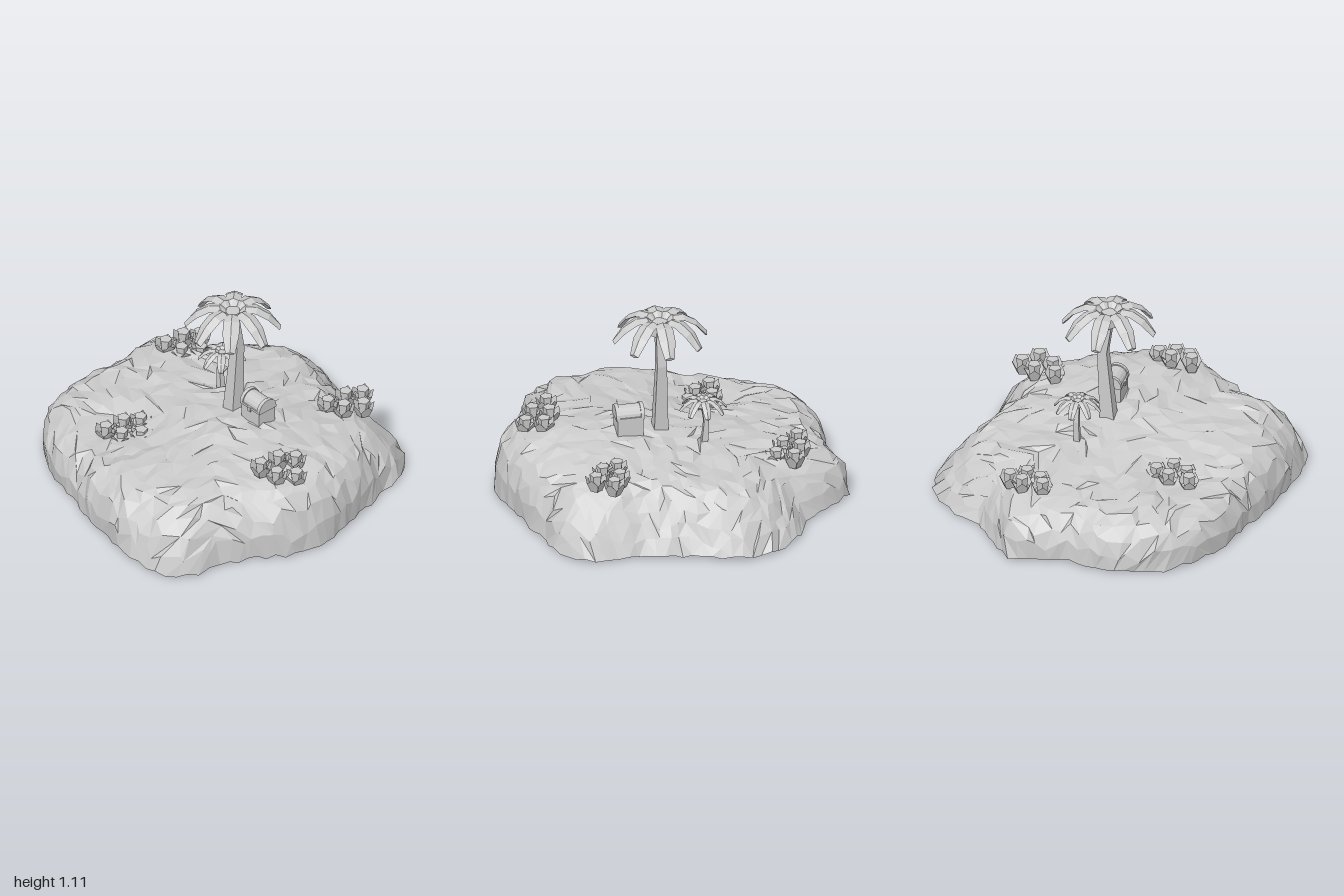
import * as THREE from 'three';

const grey = new THREE.MeshStandardMaterial({ color: 0xcccccc, flatShading: true, side: THREE.DoubleSide });

let seed = 7;
const rand = () => (seed = (seed * 16807) % 2147483647) / 2147483647;
const jitter = (a) => (rand() * 2 - 1) * a;

function mesh(name, geometry, parent) {
  const m = new THREE.Mesh(geometry, grey);
  m.name = name;
  parent.add(m);
  return m;
}

function geometryFrom(positions, index) {
  const g = new THREE.BufferGeometry();
  g.setAttribute('position', new THREE.Float32BufferAttribute(positions, 3));
  g.setIndex(index);
  const flat = g.toNonIndexed();
  flat.computeVertexNormals();
  return flat;
}

// Skin a list of rings (each the same number of [x, y, z] points) with capped ends
function loft(rings) {
  const n = rings[0].length, index = [], last = (rings.length - 1) * n;
  for (let r = 0; r < rings.length - 1; r++)
    for (let i = 0; i < n; i++) {
      const a = r * n + i, b = r * n + (i + 1) % n;
      index.push(a, b, a + n, b, b + n, a + n);
    }
  for (let i = 1; i < n - 1; i++) index.push(0, i + 1, i, last, last + i, last + i + 1);
  return geometryFrom(rings.flat(2), index);
}

// Shoreline as [x, z]
const shore = [
  [-0.99, -0.21], [-0.995, -0.35], [-0.85, -0.48], [-0.66, -0.62], [-0.64, -0.71], [-0.53, -0.87],
  [-0.4, -0.96], [-0.16, -0.98], [0.09, -0.89], [0.35, -0.82], [0.64, -0.84], [0.78, -0.7],
  [0.83, -0.51], [0.93, -0.19], [0.99, 0.11], [0.95, 0.29], [0.83, 0.47], [0.73, 0.64],
  [0.7, 0.88], [0.57, 0.98], [0.09, 0.96], [-0.26, 0.87], [-0.58, 0.79], [-0.86, 0.59],
  [-0.97, 0.32], [-0.93, -0.03],
].map(([x, z]) => ({ a: Math.atan2(z, x), r: Math.hypot(x, z) })).sort((p, q) => p.a - q.a);

function shoreRadius(angle) {
  const a = Math.atan2(Math.sin(angle), Math.cos(angle)), n = shore.length;
  let i = shore.findIndex((p) => p.a > a);
  if (i < 0) i = 0;
  const p = shore[(i + n - 1) % n], q = shore[i], full = 2 * Math.PI;
  const span = (q.a - p.a + full) % full, part = (a - p.a + full) % full;
  return THREE.MathUtils.lerp(p.r, q.r, part / span);
}

// Ground rises to the right of the palms and dips under two plant clusters
function groundHeight(x, z) {
  const hill = (cx, cz, wx, wz) => Math.exp(-((x - cx) ** 2) / wx - ((z - cz) ** 2) / wz);
  return 0.345 + 0.05 * x + 0.073 * hill(0.3, 0, 0.3, 0.15)
    - 0.055 * hill(-0.33, 0.5, 0.08, 0.08) - 0.02 * hill(0.4, -0.55, 0.08, 0.08);
}

// Profiles from centre to foot: [t, share of shore radius, share of ground height]
const steep = [[0, 0, 1], [0.6, 0.71, 1], [0.72, 0.84, 0.94], [0.82, 0.925, 0.8], [0.9, 0.985, 0.5], [1, 0.985, 0.06]];
const gentle = [[0, 0, 1], [0.6, 0.7, 1], [0.72, 0.79, 0.83], [0.82, 0.87, 0.6], [0.9, 0.93, 0.36], [1, 1, 0.06]];
function along(profile, t) {
  let i = 1;
  while (i < profile.length - 1 && profile[i][0] < t) i++;
  const p = profile[i - 1], q = profile[i], k = (t - p[0]) / (q[0] - p[0]);
  return [1, 2].map((c) => THREE.MathUtils.lerp(p[c], q[c], k));
}

// Hollow faceted island: a jittered square grid wrapped onto the shoreline
function island() {
  const N = 28, positions = [], index = [];
  const { lerp, smoothstep } = THREE.MathUtils;
  for (let i = 0; i <= N; i++)
    for (let j = 0; j <= N; j++) {
      const edge = i === 0 || j === 0 || i === N || j === N;
      const u = 2 * i / N - 1 + (edge ? 0 : jitter(0.024));
      const v = 2 * j / N - 1 + (edge ? 0 : jitter(0.024));
      const t = Math.max(Math.abs(u), Math.abs(v), 1e-6);
      const alongX = Math.abs(u) >= Math.abs(v);
      let a = alongX ? Math.PI / 4 * v / (u || 1e-6) : Math.PI / 2 - Math.PI / 4 * u / v;
      if ((alongX ? u : v) < 0) a += Math.PI;
      // The back and the front left corner slope more gently
      const soft = Math.max(smoothstep(-Math.sin(a), 0.25, 0.85), 0.55 * smoothstep(Math.cos(a - 1), 0.92, 0.99));
      const [r0, h0] = along(steep, t), [r1, h1] = along(gentle, t);
      const r = lerp(r0, r1, soft) * shoreRadius(a) * (1 + jitter(0.008));
      const x = r * Math.cos(a), z = r * Math.sin(a);
      const y = edge ? 0.03 * rand() : groundHeight(x, z) * lerp(h0, h1, soft) + jitter(0.014);
      positions.push(x, y, z);
    }
  for (let i = 0; i < N; i++)
    for (let j = 0; j < N; j++) {
      const a = i * (N + 1) + j, b = a + 1, c = a + N + 1, d = c + 1;
      if (rand() < 0.5) index.push(a, b, c, b, d, c);
      else index.push(a, b, d, a, d, c);
    }
  return geometryFrom(positions, index);
}

// Palm with a kinked square trunk and eight drooping leaves; foot at the origin
function palm(name) {
  const group = new THREE.Group();
  group.name = name;
  const square = (y, z, h) => [[-h, y, z - h], [-h, y, z + h], [h, y, z + h], [h, y, z - h]];
  mesh('trunk', loft([square(-0.03, 0, 0.042), square(0.42, -0.035, 0.028), square(0.64, 0, 0.026)]), group);
  const core = mesh('crownCore', new THREE.BoxGeometry(0.075, 0.09, 0.075), group);
  core.position.y = 0.64;
  core.rotation.y = Math.PI / 4;
  // Leaf stations: distance, height, half width
  const stations = [[0.03, 0.675, 0.02], [0.075, 0.715, 0.038], [0.14, 0.712, 0.048], [0.21, 0.67, 0.047], [0.275, 0.592, 0.028]];
  const leaf = loft(stations.map(([r, y, w]) => [[r, y, 0], [r - 0.006, y - 0.014, -w], [r - 0.012, y - 0.026, 0], [r - 0.006, y - 0.014, w]]));
  for (let i = 0; i < 8; i++) mesh('leaf', leaf, group).rotation.y = i * Math.PI / 4;
  return group;
}

// Plant: a cup of five pentagonal petals around a bud; top at the origin
function petals() {
  const positions = [], index = [];
  const at = (a, r, y) => positions.push(r * Math.sin(a), y, r * Math.cos(a));
  for (let i = 0; i < 5; i++) {
    const a = i * 2 * Math.PI / 5, s = Math.PI / 5, k = i * 5;
    at(a - s, 0.035, -0.1);
    at(a + s, 0.035, -0.1);
    at(a + s * 0.97, 0.06, -0.045);
    at(a, 0.064, -0.01);
    at(a - s * 0.97, 0.06, -0.045);
    index.push(k, k + 1, k + 2, k, k + 2, k + 3, k, k + 3, k + 4);
  }
  return geometryFrom(positions, index);
}

function plantCluster(cup, bud, [x, y, z, slope]) {
  const group = new THREE.Group();
  group.name = 'plantCluster';
  group.position.set(x, y, z);
  for (const [dx, dz] of [[0, 0], [0.09, 0.075], [-0.05, 0.085], [0.03, 0.17], [-0.06, 0.21]]) {
    const plant = new THREE.Group();
    plant.name = 'plant';
    plant.position.set(dx, dx * slope, dz);
    mesh('petals', cup, plant);
    mesh('bud', bud, plant).position.y = -0.05;
    group.add(plant);
  }
  return group;
}

// Treasure chest with a barrel lid, end bands and a latch
function chest() {
  const group = new THREE.Group();
  group.name = 'chest';
  const barrel = (name, r, length, x) => {
    const g = new THREE.CylinderGeometry(r, r, length, 8, 1, false, 0, Math.PI).rotateZ(Math.PI / 2);
    mesh(name, g, group).position.set(x, 0.125, 0);
  };
  mesh('body', new THREE.BoxGeometry(0.15, 0.15, 0.12), group).position.y = 0.045;
  mesh('rim', new THREE.BoxGeometry(0.165, 0.015, 0.13), group).position.y = 0.122;
  barrel('lid', 0.058, 0.15, 0);
  for (const s of [-1, 1]) barrel('lidBand', 0.065, 0.022, s * 0.072);
  mesh('latch', new THREE.BoxGeometry(0.02, 0.03, 0.01), group).position.set(0, 0.115, 0.066);
  return group;
}

export function createModel() {
  const model = new THREE.Group();
  model.name = 'palmIsland';
  mesh('island', island(), model);

  const tall = palm('tallPalm');
  tall.position.set(0.055, 0.4, -0.05);
  model.add(tall);

  const small = palm('smallPalm');
  small.scale.setScalar(0.5);
  small.rotation.y = Math.PI / 2;
  small.position.set(-0.17, 0.268, -0.17);
  model.add(small);

  const box = chest();
  box.position.set(0.242, 0.398, -0.075);
  model.add(box);

  const cup = petals(), bud = new THREE.CylinderGeometry(0.038, 0.026, 0.1, 5);
  for (const spot of [[0.455, 0.445, -0.68, 0], [-0.645, 0.37, -0.43, -0.2], [0.705, 0.485, 0.055, -0.35], [-0.3, 0.34, 0.335, -0.1]])
    model.add(plantCluster(cup, bud, spot));
  return model;
}
